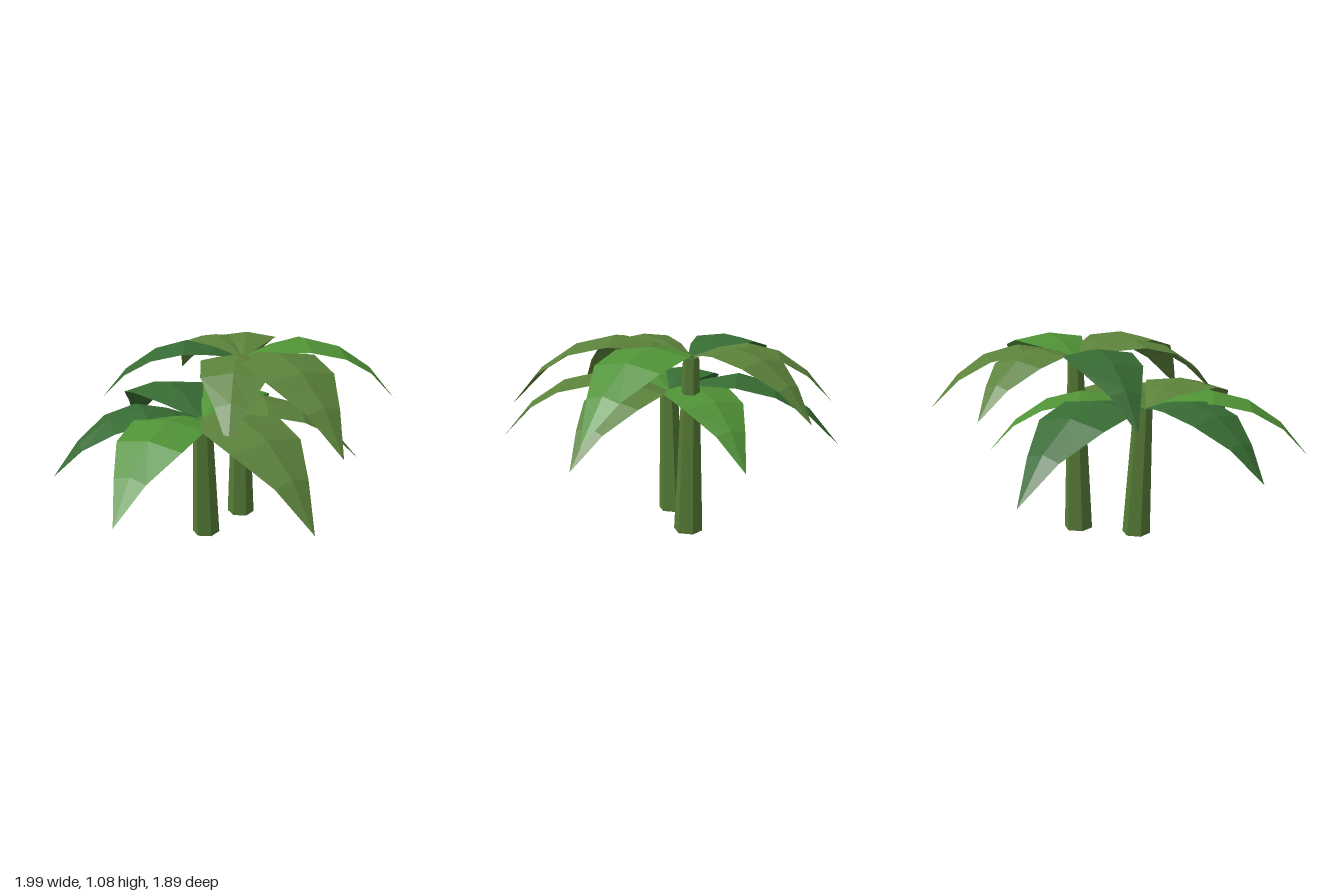
import * as THREE from 'three';

const material = (name, color) => {
  const m = new THREE.MeshStandardMaterial({ color, side: THREE.DoubleSide });
  m.name = name;
  return m;
};

// Arched frond of unit length along +x: distance, height, half width, edge droop
const STATIONS = [
  [0, 0, 0.02, 0], [0.2, 0.078, 0.14, 0.025], [0.4, 0.112, 0.23, 0.035],
  [0.62, 0.06, 0.205, 0.035], [0.82, -0.075, 0.1, 0.025], [1, -0.29, 0, 0],
];

function frondGeometry() {
  const pos = [], idx = [];
  for (const [x, y, w, d] of STATIONS) {
    pos.push(x, y - d, -w, x, y, 0, x, y - d, w);
  }
  for (let i = 0; i < STATIONS.length - 1; i++) {
    for (let j = 0; j < 2; j++) {
      const a = i * 3 + j, b = a + 3;
      idx.push(a, a + 1, b);
      if (i < STATIONS.length - 2) idx.push(a + 1, b + 1, b);
    }
  }
  // The last row closes to a point, so its quads stay single triangles
  const indexed = new THREE.BufferGeometry();
  indexed.setAttribute('position', new THREE.Float32BufferAttribute(pos, 3));
  indexed.setIndex(idx);
  const last = (STATIONS.length - 2) * 3;
  indexed.setIndex([...idx, last + 1, last + 2, last + 4]);
  const g = indexed.toNonIndexed();
  g.computeVertexNormals();
  return g;
}

// Six-sided tapered trunk leaning from its foot to its top
function trunkGeometry(foot, top, height, rBottom, rTop) {
  const g = new THREE.CylinderGeometry(rTop, rBottom, height, 6).toNonIndexed();
  g.rotateY(0.2);
  g.translate(0, height / 2, 0);
  const p = g.attributes.position;
  for (let i = 0; i < p.count; i++) {
    const t = p.getY(i) / height;
    p.setX(i, p.getX(i) + foot[0] + (top[0] - foot[0]) * t);
    p.setZ(i, p.getZ(i) + foot[1] + (top[1] - foot[1]) * t);
  }
  g.computeVertexNormals();
  return g;
}

export function createModel() {
  const model = new THREE.Group();
  model.name = 'palmPair';
  const olive = material('oliveLeaf', 0x5b813a);
  const bright = material('brightLeaf', 0x4f9236);
  const dark = material('darkLeaf', 0x376b33);
  const bark = material('trunkGreen', 0x557a35);
  const frond = frondGeometry();

  // Fronds are listed as tip x, tip z, material
  const palms = [
    {
      name: 'shortPalm', foot: [-0.175, -0.015], top: [-0.19, 0.015], height: 0.71,
      radii: [0.078, 0.052], crown: [-0.2, 0.705, 0.02],
      fronds: [
        [-1, 0.1, dark], [-0.745, 0.72, bright], [0.145, 0.945, olive],
        [0.665, 0.165, olive], [0.34, -0.64, bright], [-0.48, -0.92, dark],
      ],
    },
    {
      name: 'tallPalm', foot: [0.085, -0.23], top: [0.083, -0.235], height: 0.965,
      radii: [0.08, 0.043], crown: [0.085, 0.965, -0.23],
      fronds: [
        [0.99, -0.1, bright], [0.36, 0.715, olive], [-0.17, 0.56, olive],
        [-0.7, -0.41, dark], [-0.145, -0.93, olive], [0.35, -0.95, olive],
      ],
    },
  ];

  for (const { name, foot, top, height, radii, crown, fronds } of palms) {
    const palm = new THREE.Group();
    palm.name = name;
    const trunk = new THREE.Mesh(trunkGeometry(foot, top, height, ...radii), bark);
    trunk.name = 'trunk';
    palm.add(trunk);
    // Crown of fronds, each scaled evenly to reach its tip
    for (const [x, z, mat] of fronds) {
      const dx = x - crown[0], dz = z - crown[2];
      const leaf = new THREE.Mesh(frond, mat);
      leaf.name = 'frond';
      leaf.position.set(...crown);
      leaf.rotation.y = -Math.atan2(dz, dx);
      leaf.scale.setScalar(Math.hypot(dx, dz));
      palm.add(leaf);
    }
    model.add(palm);
  }
  return model;
}
